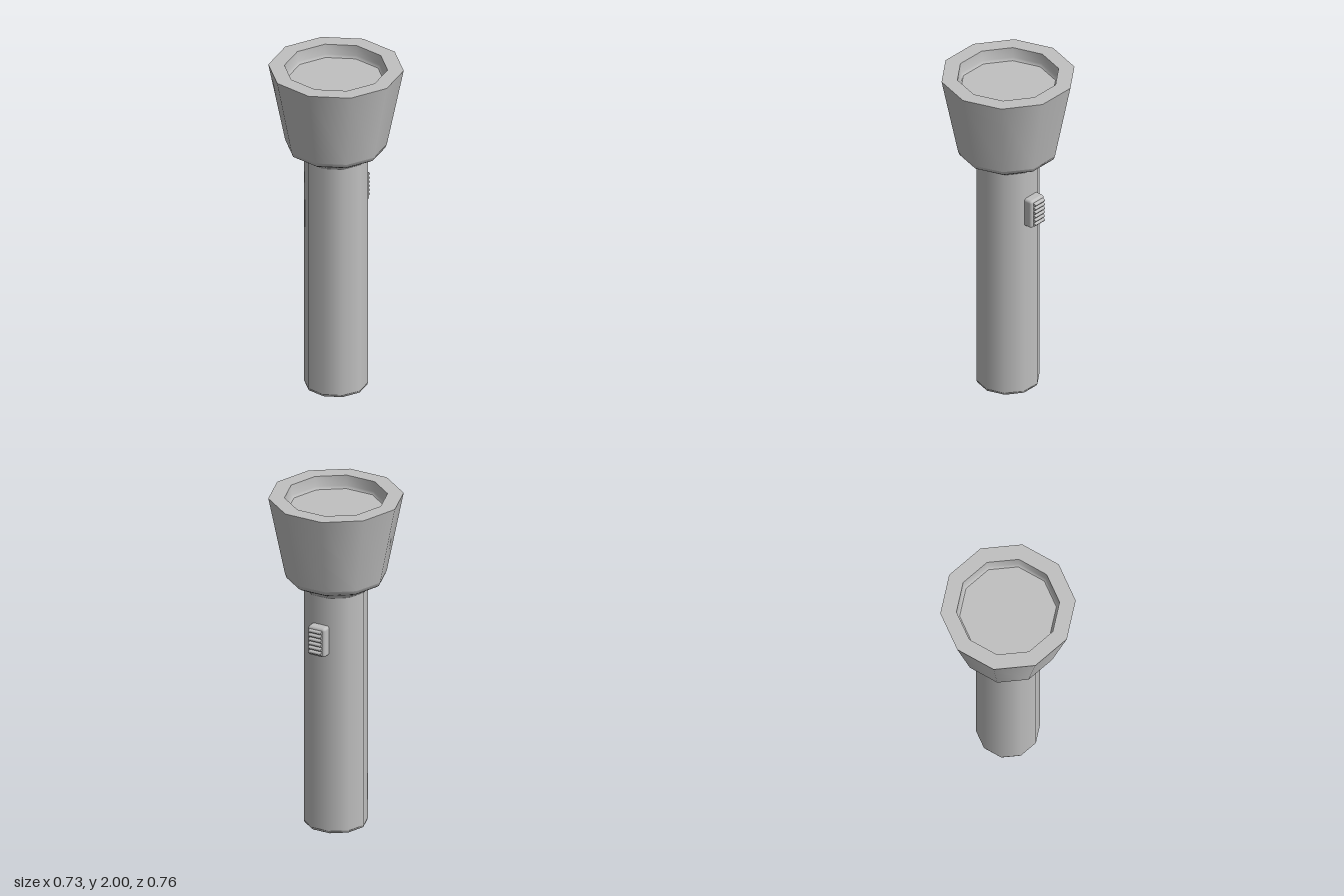
import * as THREE from 'three';
import { RoundedBoxGeometry } from 'three/addons/geometries/RoundedBoxGeometry.js';

const SIDES = 10;

export function createModel() {
  const model = new THREE.Group();
  model.name = 'flashlight';
  const grey = new THREE.MeshStandardMaterial({ color: 0xc0c0c0 });
  grey.name = 'grey';

  const add = (name, geometry, parent = model) => {
    const mesh = new THREE.Mesh(geometry, grey);
    mesh.name = name;
    parent.add(mesh);
    return mesh;
  };
  // Ten-sided turned section from [radius, height] pairs, outside face first
  const turn = (name, points) =>
    add(name, new THREE.LatheGeometry(points.map(([r, y]) => new THREE.Vector2(r, y)), SIDES));

  // Handle with a small bevel around the flat end
  turn('endCap', [[0, 0], [0.168, 0]]);
  turn('handleBevel', [[0.168, 0], [0.177, 0.005], [0.181, 0.018]]);
  turn('handle', [[0.181, 0.018], [0.181, 1.45]]);

  // Flared head with a rounded shoulder
  turn('headShoulder', [[0.181, 1.445], [0.188, 1.457], [0.205, 1.468], [0.262, 1.497], [0.278, 1.508], [0.287, 1.53]]);
  turn('head', [[0.287, 1.53], [0.382, 2]]);

  // Flat rim, recessed wall and lens
  turn('rim', [[0.382, 2], [0.291, 2]]);
  turn('recessWall', [[0.291, 2], [0.286, 1.94], [0.273, 1.925]]);
  turn('lens', [[0.273, 1.925], [0, 1.925]]);

  // Sliding switch on the left side, with grip ridges
  const slider = new THREE.Group();
  slider.name = 'switch';
  slider.position.set(0.17, 1.187, 0);
  model.add(slider);
  add('switchBase', new RoundedBoxGeometry(0.11, 0.178, 0.112, 2, 0.016), slider);
  const ridges = 6;
  for (let i = 0; i < ridges; i++) {
    const ridge = add('switchRidge', new THREE.CylinderGeometry(0.011, 0.011, 0.08, 8), slider);
    ridge.rotation.x = Math.PI / 2;
    ridge.scale.x = 1.6;
    ridge.position.set(0.055, (i - (ridges - 1) / 2) * 0.0255, 0);
  }
  return model;
}
